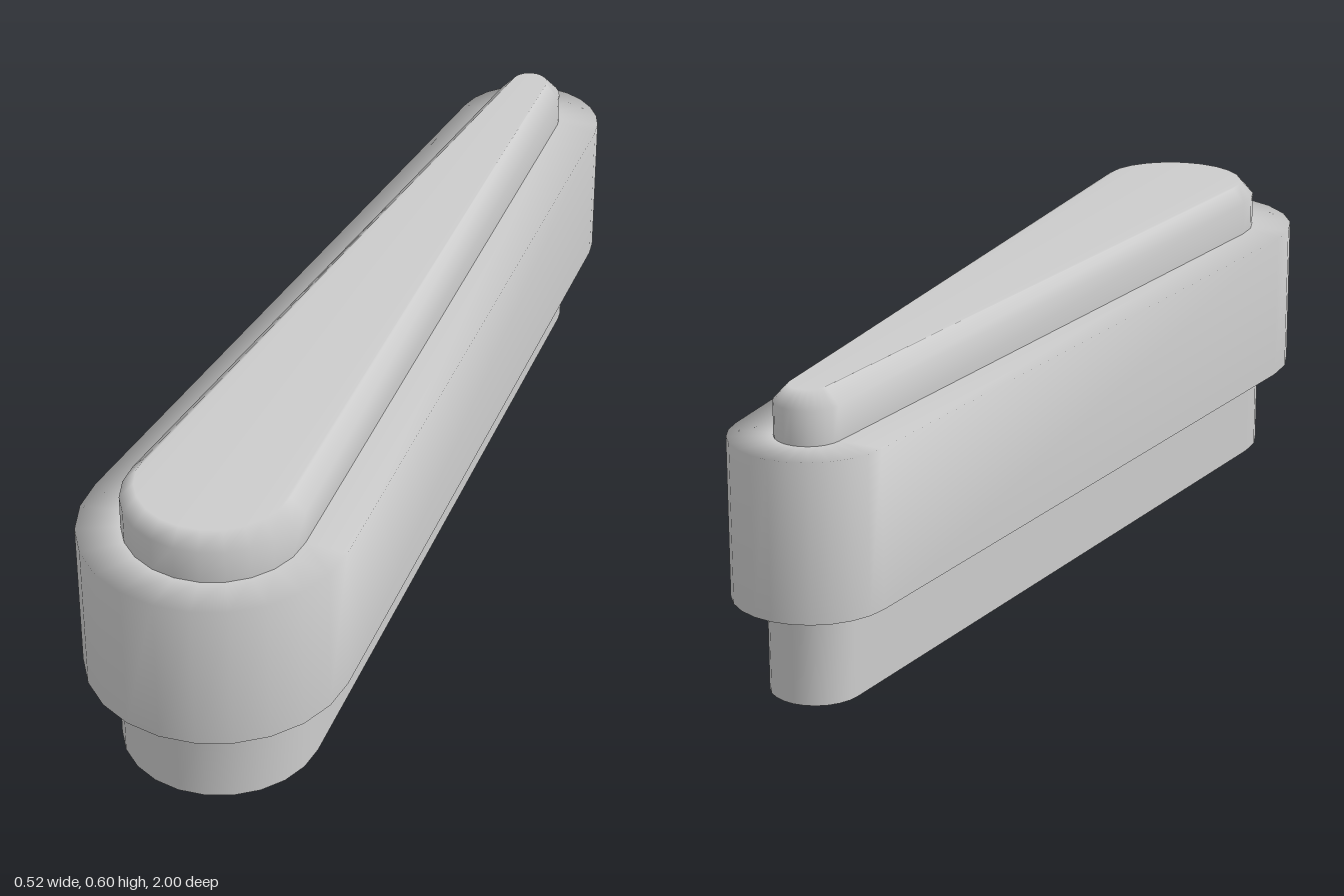
import * as THREE from 'three';

const ARC = 12;

// Tapered capsule outline: wide round end at +z, narrow round end at -z
function outline([r1, z1, r2, z2], y) {
  const a = Math.asin((r1 - r2) / (z1 - z2));
  const points = [];
  for (let i = 0; i <= ARC; i++) {
    const t = -a + (Math.PI + 2 * a) * i / ARC;
    points.push([r1 * Math.cos(t), y, z1 + r1 * Math.sin(t)]);
  }
  for (let i = 0; i <= ARC; i++) {
    const t = Math.PI + a + (Math.PI - 2 * a) * i / ARC;
    points.push([r2 * Math.cos(t), y, z2 + r2 * Math.sin(t)]);
  }
  return points;
}

// Smooth skin through a stack of outlines, optionally closed on top
function loft(rings, capped) {
  const n = 2 * (ARC + 1);
  const vertices = rings.flatMap(([shape, y]) => outline(shape, y)).flat();
  const index = [];
  for (let k = 0; k < rings.length - 1; k++) {
    for (let i = 0; i < n; i++) {
      const j = (i + 1) % n;
      const a = k * n + i, b = k * n + j, c = a + n, d = b + n;
      index.push(a, c, b, b, c, d);
    }
  }
  if (capped) {
    const base = (rings.length - 1) * n;
    // Strip across the convex outline, from side to side
    for (let i = 0; i < n / 2 - 1; i++) {
      const a = base + i, b = base + i + 1;
      const c = base + n - 1 - i, d = base + n - 2 - i;
      index.push(a, c, b, b, c, d);
    }
  }
  const geometry = new THREE.BufferGeometry();
  geometry.setAttribute('position', new THREE.Float32BufferAttribute(vertices, 3));
  geometry.setIndex(index);
  geometry.computeVertexNormals();
  return geometry;
}

export function createModel() {
  const group = new THREE.Group();
  const grey = new THREE.MeshStandardMaterial({ color: 0xcccccc, side: THREE.DoubleSide });
  grey.name = 'light grey';

  const add = (name, rings, capped = false) => {
    const mesh = new THREE.Mesh(loft(rings, capped), grey);
    mesh.name = name;
    group.add(mesh);
  };

  const baseShape = [0.197, 0.735, 0.09, -0.84];
  const bodyShape = [0.262, 0.738, 0.155, -0.845];
  const capShape = [0.178, 0.735, 0.066, -0.85];
  const capTop = [0.15, 0.735, 0.038, -0.85];

  // Open sleeve at the bottom
  add('baseSleeve', [[baseShape, 0], [baseShape, 0.183]]);
  // Hollow body with a flat rim on top
  add('body', [[bodyShape, 0.191], [bodyShape, 0.505], [capShape, 0.505]]);
  // Raised cap with a bevelled edge
  add('raisedCap', [[capShape, 0.505], [capShape, 0.573], [capTop, 0.604]], true);

  return group;
}
